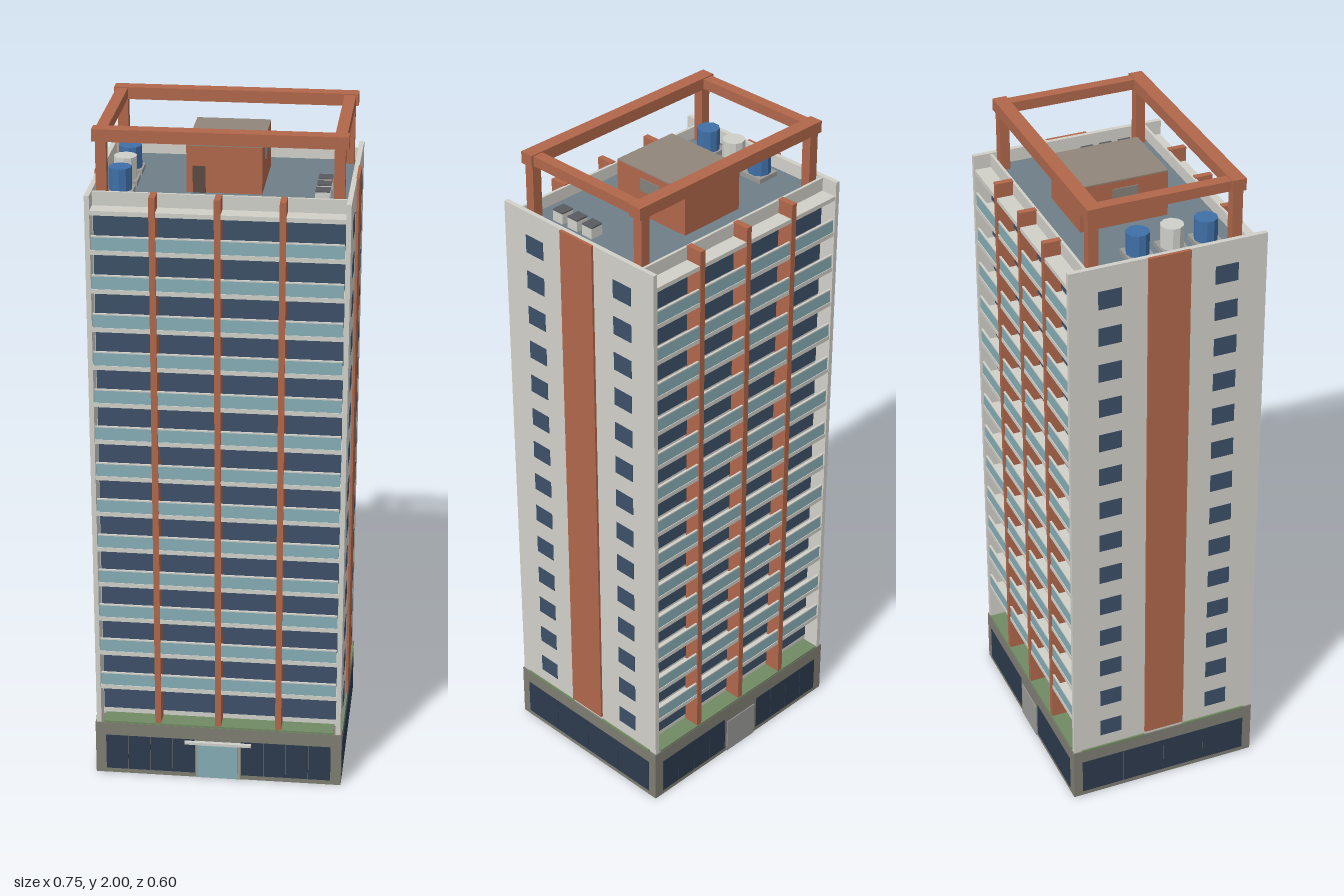
import * as THREE from 'three';

const mat = (color, side = THREE.FrontSide) =>
  new THREE.MeshStandardMaterial({ color, side, flatShading: true });

export function createModel() {
  const root = new THREE.Group();
  root.name = 'apartmentTower';
  const M = {
    cream: mat(0xd1d0c9), red: mat(0xb0674a), glass: mat(0x3d5068), rail: mat(0x86adb6),
    stone: mat(0x7f7d73), shop: mat(0x2d3a4d), green: mat(0x708a62), roof: mat(0x6f7f88),
    cap: mat(0x91867a), grey: mat(0x9a9a98), dark: mat(0x5a5b61), blue: mat(0x3f70a8),
    white: mat(0xcfcfca), vent: mat(0x85827c), door: mat(0x5b4a40),
  };
  const group = (name, parent = root) => {
    const g = new THREE.Group();
    g.name = name;
    parent.add(g);
    return g;
  };
  // Box given by its extents along each axis
  const box = (parent, name, m, [x0, x1], [y0, y1], [z0, z1]) => {
    const mesh = new THREE.Mesh(new THREE.BoxGeometry(x1 - x0, y1 - y0, z1 - z0), m);
    mesh.position.set((x0 + x1) / 2, (y0 + y1) / 2, (z0 + z1) / 2);
    mesh.name = name;
    parent.add(mesh);
    return mesh;
  };
  // Range between two distances from the centre, on the chosen side
  const span = (s, a, b) => (s > 0 ? [a, b] : [-b, -a]);

  const FLOORS = 14, H = 0.1144, Y0 = 0.185, TOP = 1.83;
  const ROOF = Y0 + FLOORS * H;

  // Everything in the building sits in a group slightly behind the canopy edge
  const tower = group('tower');
  tower.position.z = -0.005;

  // Hollow podium: four walls and a ceiling slab
  const podium = group('podium', tower);
  box(podium, 'podiumSlab', M.stone, [-0.37, 0.37], [0.155, 0.172], [-0.293, 0.293]);
  for (const s of [1, -1]) {
    box(podium, 'podiumLongWall', M.stone, [-0.37, 0.37], [0, 0.155], span(s, 0.283, 0.293));
    box(podium, 'podiumEndWall', M.stone, span(s, 0.36, 0.37), [0, 0.155], [-0.283, 0.283]);
    // Shop windows split by mullions
    for (const t of [1, -1]) {
      for (let i = 0; i < 4; i++) {
        const a = 0.07 + i * 0.0675;
        box(podium, 'shopWindow', M.shop, span(t, a, a + 0.066), [0.015, 0.13], span(s, 0.29, 0.2945));
      }
    }
    for (let i = 0; i < 4; i++) {
      const a = -0.265 + i * 0.1328;
      box(podium, 'endShopWindow', M.shop, span(s, 0.367, 0.3715), [0.015, 0.13], [a, a + 0.1315]);
    }
    // Planted strips on the podium edge
    box(podium, 'plantingLong', M.green, [-0.345, 0.345], [0.17, 0.178], span(s, 0.238, 0.292));
    for (const [a, b] of [[-0.265, -0.063], [0.063, 0.265]])
      box(podium, 'plantingEnd', M.green, span(s, 0.362, 0.3715), [0.17, 0.176], [a, b]);
  }

  // Entrance, canopy and service door
  box(podium, 'entranceFrame', M.grey, [-0.067, 0.067], [0, 0.122], [0.281, 0.2945]);
  box(podium, 'entranceDoor', M.rail, [-0.06, 0.06], [0.002, 0.112], [0.28, 0.297]);
  box(podium, 'entranceCanopy', M.white, [-0.1, 0.1], [0.118, 0.126], [0.275, 0.305]);
  box(podium, 'serviceDoor', M.grey, [-0.06, 0.06], [0, 0.115], [-0.296, -0.281]);

  // Core and end walls
  box(tower, 'core', M.cream, [-0.355, 0.355], [0.17, ROOF], [-0.238, 0.238]);
  for (const s of [1, -1]) {
    const end = group('endWall', tower);
    box(end, 'endWallPanel', M.cream, span(s, 0.352, 0.366), [0.17, TOP], [-0.29, 0.29]);
    box(end, 'accentStripe', M.red, span(s, 0.364, 0.373), [Y0, TOP], [-0.062, 0.062]);
    for (let i = 0; i < FLOORS; i++) {
      const y = Y0 + i * H + 0.058;
      for (const t of [1, -1])
        box(end, 'endWindow', M.glass, span(s, 0.364, 0.3675), [y - 0.028, y + 0.028], span(t, 0.137, 0.205));
    }
  }

  // Long facades: windows, balconies and vertical fins
  const fins = [-0.18, 0, 0.18];
  const bays = [[-0.35, -0.189], [-0.171, -0.009], [0.009, 0.171], [0.189, 0.35]];
  for (const s of [1, -1]) {
    const facade = group(s > 0 ? 'frontFacade' : 'backFacade', tower);
    for (let i = 0; i <= FLOORS; i++) {
      const y = Y0 + i * H;
      if (i > 0)
        box(facade, 'balconySlab', M.cream, [-0.352, 0.352], [y - 0.013, y], span(s, 0.236, 0.288));
      if (i === FLOORS) continue;
      for (const bay of bays) {
        box(facade, 'window', M.glass, bay, [y + 0.01, y + 0.097], span(s, 0.236, 0.241));
        if (i === 0) continue;
        box(facade, 'balconyGlass', M.rail, bay, [y, y + 0.038], span(s, 0.282, 0.286));
        box(facade, 'handrail', M.cream, bay, [y + 0.038, y + 0.042], span(s, 0.281, 0.287));
      }
    }
    for (const x of fins)
      box(facade, 'fin', M.red, [x - 0.009, x + 0.009], [0.178, TOP], span(s, 0.238, 0.29));
  }

  // Roof surface and parapet
  const roof = group('roof', tower);
  box(roof, 'roofDeck', M.roof, [-0.353, 0.353], [ROOF - 0.002, ROOF + 0.004], [-0.236, 0.236]);
  for (const s of [1, -1])
    box(roof, 'parapet', M.cream, [-0.352, 0.352], [ROOF, TOP - 0.003], span(s, 0.232, 0.24));

  // Open beam frame over the roof
  const frame = group('roofFrame', roof);
  for (const s of [1, -1]) {
    box(frame, 'longBeam', M.red, [-0.352, 0.352], [1.965, 2], span(s, 0.187, 0.228));
    box(frame, 'endBeam', M.red, span(s, 0.312, 0.345), [1.967, 1.997], [-0.187, 0.187]);
    for (const t of [1, -1])
      box(frame, 'post', M.red, span(s, 0.313, 0.343), [ROOF, 1.965], span(t, 0.194, 0.223));
  }

  // Machine room
  const room = group('machineRoom', roof);
  box(room, 'roomWalls', M.red, [-0.106, 0.106], [ROOF, 1.925], [-0.15, 0.11]);
  box(room, 'roomRoof', M.cap, [-0.106, 0.106], [1.925, 1.929], [-0.15, 0.11]);
  box(room, 'roomDoor', M.door, [-0.088, -0.052], [ROOF, 1.868], [0.108, 0.113]);
  for (const s of [1, -1])
    box(room, 'roomVent', M.vent, span(s, 0.104, 0.109), [1.866, 1.904], [-0.055, 0.02]);

  // Water tanks on pads
  [-0.058, 0.042, 0.142].forEach((z, i) => {
    const tank = group('waterTank', roof);
    box(tank, 'tankPad', M.grey, [-0.322, -0.25], [ROOF, 1.805], [z - 0.037, z + 0.037]);
    const body = new THREE.Mesh(new THREE.CylinderGeometry(0.033, 0.033, 0.065, 10), i === 1 ? M.white : M.blue);
    body.name = 'tankBody';
    body.position.set(-0.287, 1.8375, z);
    tank.add(body);
  });

  // Air conditioning units
  for (const z of [0.034, 0.091, 0.149]) {
    const unit = group('airConditioner', roof);
    box(unit, 'unitBody', M.white, [0.258, 0.298], [ROOF, 1.822], [z - 0.019, z + 0.019]);
    box(unit, 'unitFanCover', M.dark, [0.258, 0.298], [1.822, 1.826], [z - 0.019, z + 0.019]);
  }
  return root;
}
